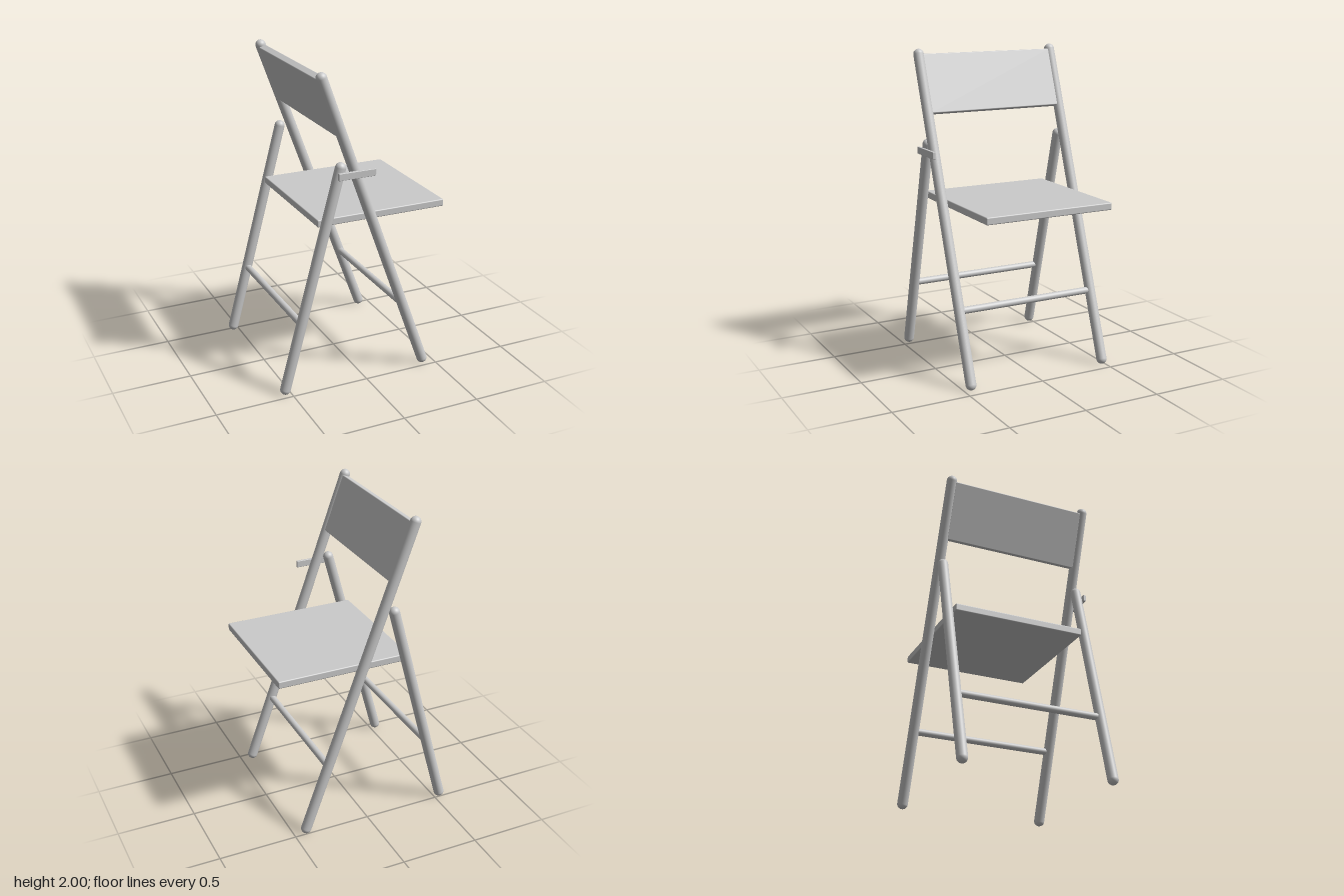
import * as THREE from 'three';
import { RoundedBoxGeometry } from 'three/addons/geometries/RoundedBoxGeometry.js';

const material = new THREE.MeshStandardMaterial({ color: 0xcccccc });
const UP = new THREE.Vector3(0, 1, 0);
const TUBE = 0.033, RUNG = 0.022;
const SIDES = { left: -0.483, right: 0.454 }; // z of the two side frames, seat faces +x

// End points (x, y) of the two kinds of pole
const FRONT = { foot: [0.42, TUBE], head: [-0.285, 2 - TUBE] };
const REAR = { foot: [-0.535, TUBE], head: [-0.165, 1.42] };

// Point on a pole at height y
function pointAt({ foot, head }, y) {
  const t = (y - foot[1]) / (head[1] - foot[1]);
  return new THREE.Vector3(foot[0] + t * (head[0] - foot[0]), y, 0);
}

export function createModel() {
  const group = new THREE.Group();
  const add = (name, geometry) => {
    const mesh = new THREE.Mesh(geometry, material);
    mesh.name = name;
    group.add(mesh);
    return mesh;
  };

  // Round-ended poles on each side
  const pole = (name, { foot, head }, z) => {
    const a = new THREE.Vector3(...foot, z), b = new THREE.Vector3(...head, z);
    const mesh = add(name, new THREE.CapsuleGeometry(TUBE, a.distanceTo(b), 10, 28));
    mesh.position.copy(a).lerp(b, 0.5);
    mesh.quaternion.setFromUnitVectors(UP, b.sub(a).normalize());
  };
  for (const [side, z] of Object.entries(SIDES)) {
    pole(`${side}FrontPole`, FRONT, z);
    pole(`${side}RearLeg`, REAR, z);
  }

  // Cross rungs between the poles
  const midZ = (SIDES.left + SIDES.right) / 2;
  const span = SIDES.right - SIDES.left;
  for (const [name, line] of [['frontRung', FRONT], ['rearRung', REAR]]) {
    const rung = add(name, new THREE.CylinderGeometry(RUNG, RUNG, span, 24));
    rung.rotation.x = Math.PI / 2;
    rung.position.copy(pointAt(line, 0.455)).setZ(midZ);
  }

  // Flat seat
  add('seat', new RoundedBoxGeometry(0.858, 0.046, 0.857, 3, 0.007)).position.set(0.134, 1.073, -0.013);

  // Backrest panel, leaning with the front poles
  const back = add('backrest', new RoundedBoxGeometry(0.048, 0.378, 0.9, 3, 0.006));
  back.position.copy(pointAt(FRONT, 1.785)).setZ(midZ);
  back.rotation.z = Math.atan2(FRONT.foot[0] - FRONT.head[0], FRONT.head[1] - FRONT.foot[1]);

  // Locking bar on the outside of one frame
  add('lockingBar', new RoundedBoxGeometry(0.24, 0.044, 0.018, 2, 0.003)).position.set(-0.08, 1.381, 0.503);

  return group;
}
